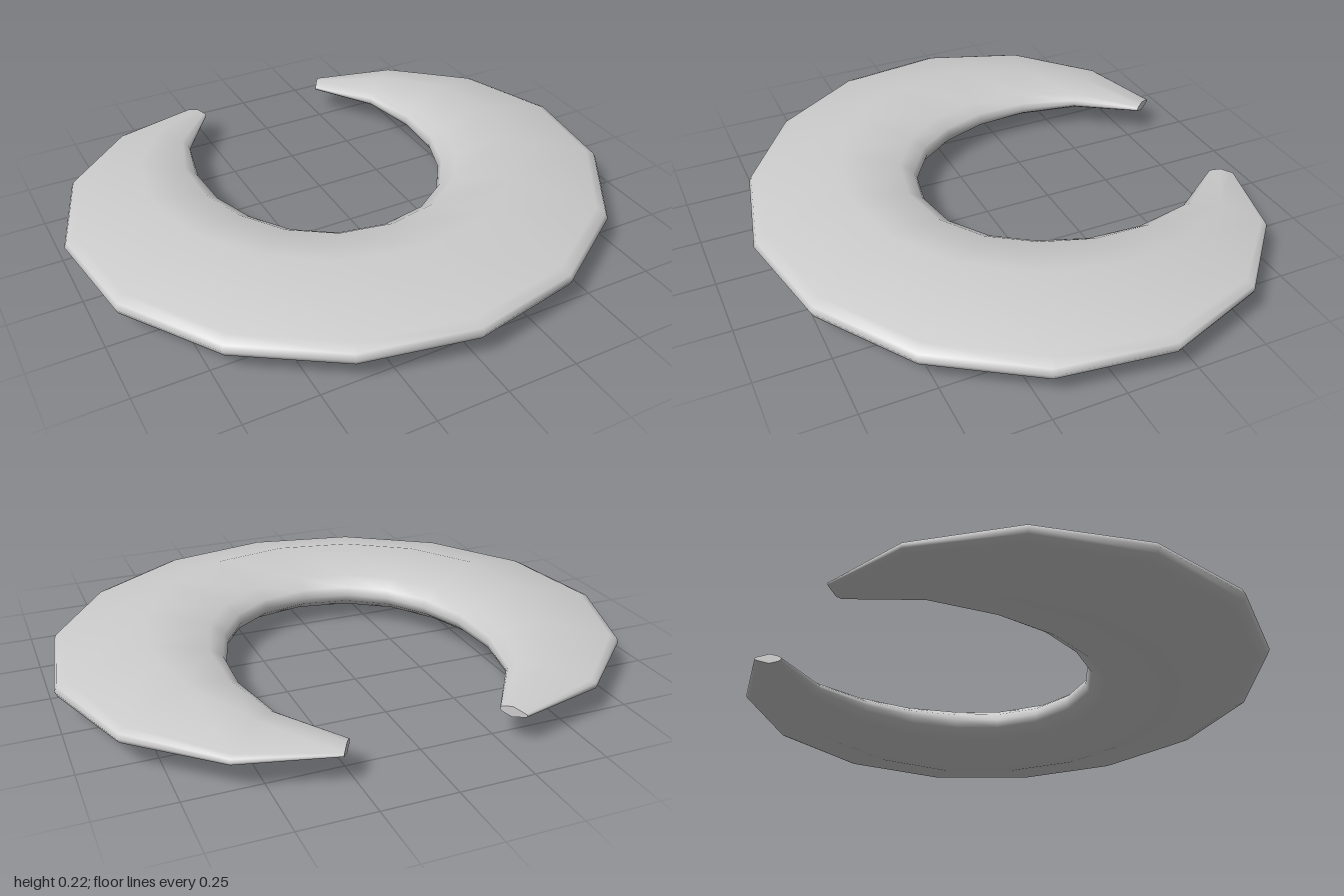
import * as THREE from 'three';

// Stations from the middle of the front to the tip: outer x, z, inner x, z, half thickness
const STATIONS = [
  [0, 0.857, 0, 0.24, 0.11],
  [0.395, 0.777, 0.16, 0.21, 0.11],
  [0.725, 0.557, 0.29, 0.12, 0.11],
  [0.945, 0.222, 0.38, -0.01, 0.11],
  [1, -0.17, 0.435, -0.17, 0.1],
  [0.875, -0.53, 0.445, -0.36, 0.082],
  [0.61, -0.777, 0.4, -0.57, 0.052],
  [0.3, -0.862, 0.25, -0.785, 0.018],
];

// Upper half of the lens section: 0 = inner edge, 1 = outer edge; height 0 to 1
const UPPER = [[1, 0], [0.985, 0.18], [0.93, 0.33], [0.45, 1], [0.1, 0.55], [0.02, 0.25], [0, 0]];
const SECTION = [...UPPER, ...UPPER.slice(1, -1).reverse().map(([t, h]) => [t, -h])];

function ring(i) {
  const [ox, oz, ix, iz, half] = STATIONS[Math.abs(i)];
  const side = Math.sign(i);
  return SECTION.map(([t, h]) => [
    side * THREE.MathUtils.lerp(ix, ox, t),
    0.11 + h * half,
    THREE.MathUtils.lerp(iz, oz, t),
  ]);
}

function makeMesh(name, points, index, material) {
  const geometry = new THREE.BufferGeometry();
  geometry.setAttribute('position', new THREE.Float32BufferAttribute(points.flat(), 3));
  geometry.setIndex(index);
  geometry.computeVertexNormals();
  const mesh = new THREE.Mesh(geometry, material);
  mesh.name = name;
  return mesh;
}

export function createModel() {
  const group = new THREE.Group();
  group.name = 'crescent';
  const material = new THREE.MeshStandardMaterial({ color: 0xcccccc });
  const n = SECTION.length;
  const last = STATIONS.length - 1;

  // Smooth tapering body, swept from one tip to the other
  const points = [], index = [];
  for (let i = -last; i <= last; i++) points.push(...ring(i));
  for (let r = 0; r < 2 * last; r++) {
    for (let j = 0; j < n; j++) {
      const a = r * n + j, b = r * n + (j + 1) % n;
      index.push(a, a + n, b, b, a + n, b + n);
    }
  }
  group.add(makeMesh('body', points, index, material));

  // Flat caps closing the two tips
  for (const [name, i] of [['rightTipCap', -last], ['leftTipCap', last]]) {
    const cap = [];
    for (let j = 1; j < n - 1; j++) cap.push(0, ...(i < 0 ? [j, j + 1] : [j + 1, j]));
    group.add(makeMesh(name, ring(i), cap, material));
  }
  return group;
}
